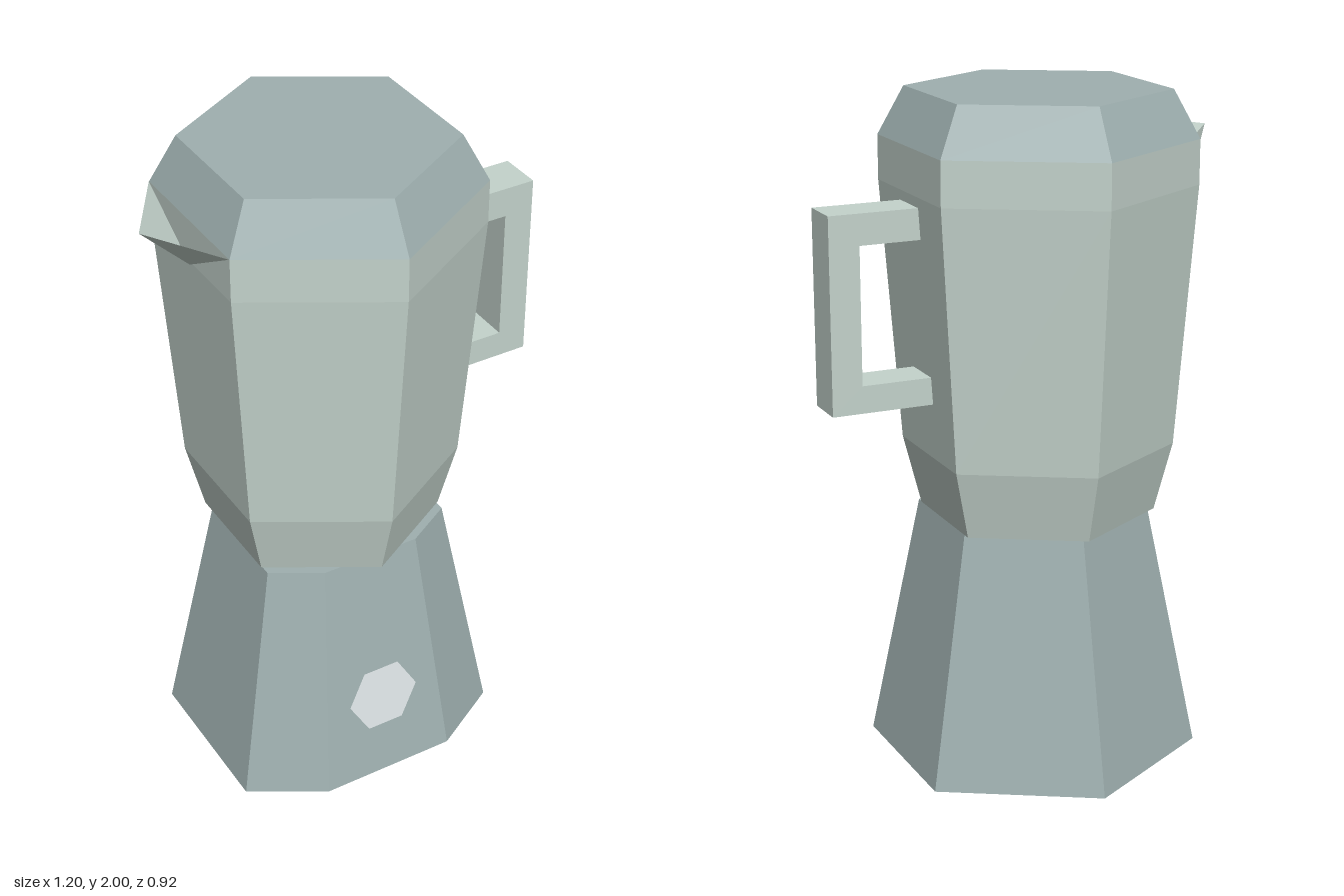
import * as THREE from 'three';

const CX = -0.06; // axis of the pot

const metal = (color) => new THREE.MeshStandardMaterial({ color, flatShading: true, side: THREE.DoubleSide });
const steel = metal(0x9fb0b0);
const pale = metal(0xc4d3cc);
const badgeMat = metal(0xdde4e6);

// Hexagon ring with corners on +z and -z, counter-clockwise from above
function hexRing(r, y, cz) {
  const ring = [];
  for (let i = 0; i < 6; i++) {
    const a = (i * Math.PI) / 3;
    ring.push([CX + r * Math.sin(a), y, cz + r * Math.cos(a)]);
  }
  return ring;
}

// Same ring with the front corner cut off flat at z = front
function cutRing(r, y, cz, front) {
  const half = (cz + r - front) * Math.sqrt(3);
  const ring = hexRing(r, y, cz).slice(1);
  return [[CX - half, y, front], [CX + half, y, front], ...ring];
}

// Skin a stack of rings, closing the chosen ends
function loft(rings, capBottom, capTop) {
  const pos = [];
  const tri = (...pts) => pts.forEach((p) => pos.push(...p));
  const n = rings[0].length;
  for (let k = 0; k + 1 < rings.length; k++) {
    const a = rings[k], b = rings[k + 1];
    for (let i = 0; i < n; i++) {
      const j = (i + 1) % n;
      tri(a[i], a[j], b[j]);
      tri(a[i], b[j], b[i]);
    }
  }
  const low = rings[0], high = rings[rings.length - 1];
  for (let i = 1; i < n - 1; i++) {
    if (capBottom) tri(low[0], low[i + 1], low[i]);
    if (capTop) tri(high[0], high[i], high[i + 1]);
  }
  return fromPositions(pos);
}

function fromPositions(pos) {
  const g = new THREE.BufferGeometry();
  g.setAttribute('position', new THREE.Float32BufferAttribute(pos, 3));
  g.computeVertexNormals();
  return g;
}

export function createModel() {
  const model = new THREE.Group();
  const add = (name, geometry, material) => {
    const mesh = new THREE.Mesh(geometry, material);
    mesh.name = name;
    model.add(mesh);
    return mesh;
  };

  // Flared water chamber with a flat front face
  add('waterChamber', loft([
    cutRing(0.496, 0, 0.036, 0.41),
    cutRing(0.342, 0.753, 0.036, 0.29),
  ], true, true), steel);

  // Upper jug
  add('jug', loft([
    hexRing(0.347, 0.755, 0.004),
    hexRing(0.4, 0.96, 0.004),
    hexRing(0.459, 1.73, 0.004),
    hexRing(0.459, 1.86, 0.004),
  ], true, false), pale);

  // Chamfered lid
  add('lid', loft([
    hexRing(0.459, 1.86, 0.004),
    hexRing(0.382, 2, 0.004),
  ], false, true), steel);

  // Open pouring spout: two thin triangles meeting in a keel
  const tip = [-0.6, 1.86, 0.002], root = [-0.458, 1.72, 0.002];
  const front = [-0.458, 1.86, 0.232], back = [-0.458, 1.86, -0.226];
  add('spout', fromPositions([...tip, ...root, ...front, ...tip, ...back, ...root]), pale);

  // Square C-shaped handle, its arms ending inside the jug
  const c = new THREE.Shape([
    [0.27, 1.13], [0.6, 1.13], [0.6, 1.7], [0.27, 1.7],
    [0.27, 1.61], [0.51, 1.61], [0.51, 1.21], [0.27, 1.21],
  ].map(([x, y]) => new THREE.Vector2(x, y)));
  const handle = add('handle', new THREE.ExtrudeGeometry(c, { depth: 0.13, bevelEnabled: false }), pale);
  handle.position.z = -0.06;

  // Flat hexagonal valve plate on the sloping front
  const valve = add('valvePlate', new THREE.CircleGeometry(0.115, 6), badgeMat);
  valve.position.set(CX, 0.265, 0.371);
  valve.rotation.x = -Math.atan(0.12 / 0.753);

  return model;
}
